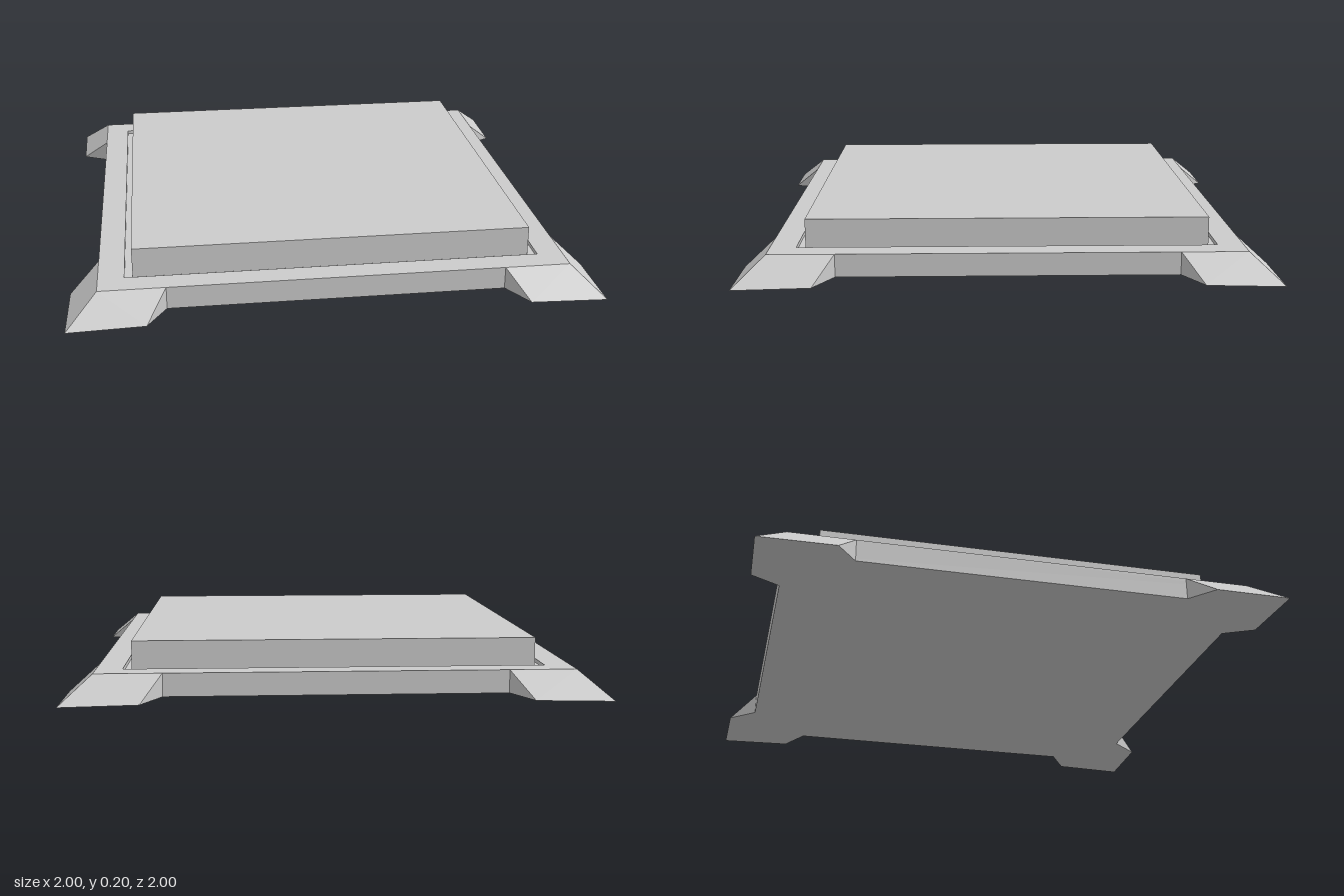
import * as THREE from 'three';

const grey = new THREE.MeshStandardMaterial({ color: 0xcccccc, flatShading: true });
const BODY = 0.885, RECESS = 0.787, PLATE = 0.757;
const BOTTOM = 0.013, FLOOR = 0.085, RIM = 0.1, TOP = 0.2;

function slab(name, half, y0, y1) {
  const mesh = new THREE.Mesh(new THREE.BoxGeometry(2 * half, y1 - y0, 2 * half), grey);
  mesh.name = name;
  mesh.position.y = (y0 + y1) / 2;
  return mesh;
}

function square(half, PathType) {
  return new PathType([[-1, -1], [1, -1], [1, 1], [-1, 1]].map(([x, y]) => new THREE.Vector2(x * half, y * half)));
}

// Splayed corner foot: two identical halves mirrored across the diagonal
function footGeometry() {
  const tip = [1, 0, 1], toe = [0.71, 0.005, 0.994];
  const low = [0.635, BOTTOM, BODY], high = [0.635, RIM, BODY];
  const cornerTop = [BODY, RIM, BODY], cornerLow = [BODY, BOTTOM, BODY];
  const triangles = [
    [toe, tip, cornerTop], [toe, cornerTop, high],   // sloping outer face
    [toe, high, low],                                // inner end
    [tip, toe, low], [tip, low, cornerLow],          // underside
  ];
  const positions = [];
  for (const [a, b, c] of triangles) {
    positions.push(...a, ...b, ...c);
    for (const [x, y, z] of [a, c, b]) positions.push(z, y, x);
  }
  const geometry = new THREE.BufferGeometry();
  geometry.setAttribute('position', new THREE.Float32BufferAttribute(positions, 3));
  geometry.computeVertexNormals();
  return geometry;
}

export function createModel() {
  const model = new THREE.Group();
  model.name = 'pressurePlate';

  // Base tray: solid slab with a raised rim around a shallow recess
  model.add(slab('base', BODY, BOTTOM, FLOOR));
  const rimShape = square(BODY, THREE.Shape);
  rimShape.holes.push(square(RECESS, THREE.Path));
  const rimGeometry = new THREE.ExtrudeGeometry(rimShape, { depth: RIM - FLOOR, bevelEnabled: false });
  rimGeometry.rotateX(-Math.PI / 2);
  const rim = new THREE.Mesh(rimGeometry, grey);
  rim.name = 'rim';
  rim.position.y = FLOOR;
  model.add(rim);

  // Raised square plate standing in the recess
  model.add(slab('topPlate', PLATE, FLOOR, TOP));

  // Four corner feet
  const foot = footGeometry();
  for (let i = 0; i < 4; i++) {
    const mesh = new THREE.Mesh(foot, grey);
    mesh.name = `cornerFoot${i + 1}`;
    mesh.rotation.y = i * Math.PI / 2;
    model.add(mesh);
  }
  return model;
}
